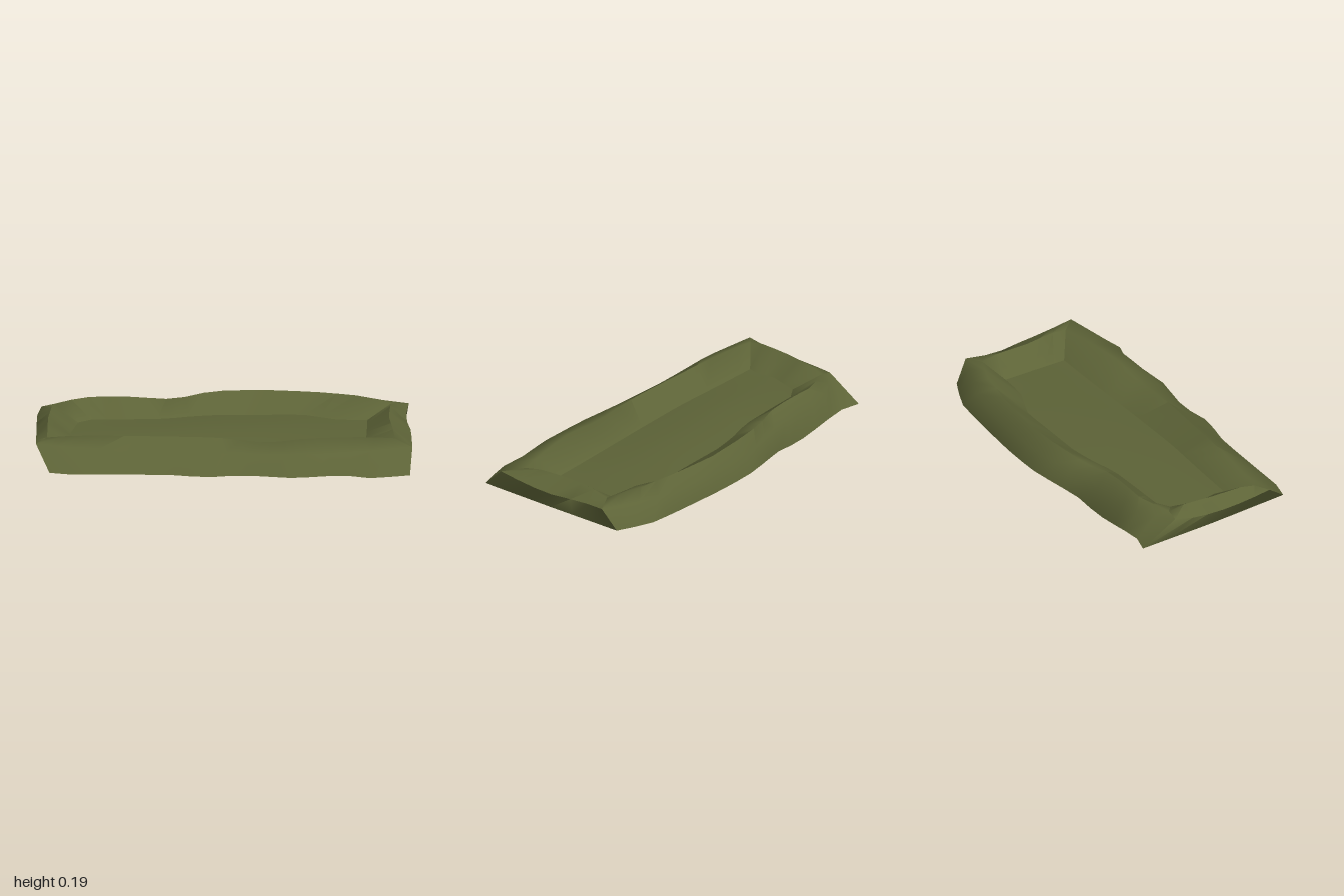
import * as THREE from 'three';
import { toCreasedNormals } from 'three/addons/utils/BufferGeometryUtils.js';

const LONG = 18, SHORT = 6;

// Plan outlines [x, z] of each level, as four sides: back, right, front, left
const BASE = [
  [[-0.5, -0.95], [-0.44, -0.87], [-0.15, -0.67], [0, -0.57], [0.17, -0.51], [0.33, -0.43], [0.52, -0.29], [0.78, -0.07], [0.91, 0.05], [1, 0.22]],
  [[1, 0.22], [0.76, 0.59], [0.52, 0.95]],
  [[0.52, 0.95], [0.33, 0.87], [0.23, 0.74], [0, 0.63], [-0.2, 0.43], [-0.37, 0.35], [-0.51, 0.2], [-0.93, -0.11], [-1, -0.19]],
  [[-1, -0.19], [-0.74, -0.6], [-0.5, -0.95]],
];
const SHOULDER = [
  [[-0.62, -0.79], [-0.42, -0.79], [-0.14, -0.61], [0.01, -0.52], [0.18, -0.46], [0.35, -0.37], [0.54, -0.23], [0.8, 0], [0.98, 0.3]],
  [[0.98, 0.3], [0.87, 0.42], [0.78, 0.6], [0.6, 0.86]],
  [[0.6, 0.86], [0.22, 0.66], [-0.02, 0.49], [-0.25, 0.29], [-0.5, 0.08], [-0.78, -0.13], [-0.98, -0.34]],
  [[-0.98, -0.34], [-0.7, -0.72], [-0.62, -0.79]],
];
const CREST = [
  [[-0.57, -0.75], [-0.4, -0.71], [-0.14, -0.52], [0.02, -0.45], [0.2, -0.38], [0.42, -0.24], [0.62, -0.06], [0.78, 0.11], [0.88, 0.28]],
  [[0.88, 0.28], [0.72, 0.48], [0.58, 0.73]],
  [[0.58, 0.73], [0.25, 0.55], [-0.05, 0.34], [-0.35, 0.1], [-0.6, -0.1], [-0.9, -0.35]],
  [[-0.9, -0.35], [-0.75, -0.55], [-0.57, -0.75]],
];
const FLOOR = [
  [[-0.52, -0.6], [-0.46, -0.61], [-0.27, -0.48], [-0.12, -0.38], [0.04, -0.32], [0.17, -0.25], [0.35, -0.12], [0.51, -0.01], [0.62, 0.17], [0.74, 0.26]],
  [[0.74, 0.26], [0.62, 0.42], [0.52, 0.55]],
  [[0.52, 0.55], [0.35, 0.43], [0, 0.19], [-0.3, -0.02], [-0.55, -0.22], [-0.73, -0.36]],
  [[-0.73, -0.36], [-0.68, -0.41], [-0.66, -0.48], [-0.52, -0.6]],
];

// Height rules: t runs 0..1 along each side
const baseY = (x, z, t, side) => (side === 0 ? 0.04 - 0.04 * Math.exp(-(((x + 0.13) / 0.2) ** 2)) : 0.04);
const shoulderY = (x, z, t) => 0.155 - 0.025 * Math.sin(Math.PI * t);
const crestY = (x, z, t) => 0.19 - 0.02 * Math.abs(2 * t - 1) ** 6 - 0.025 * Math.exp(-((x / 0.13) ** 2));
const floorY = () => 0.1;

// Evenly spaced points along each side of an outline
function sampleSides(outline, heightAt) {
  return outline.map((pts, side) => {
    const path = new THREE.CurvePath();
    for (let i = 1; i < pts.length; i++) {
      path.add(new THREE.LineCurve(new THREE.Vector2(...pts[i - 1]), new THREE.Vector2(...pts[i])));
    }
    const n = side % 2 ? SHORT : LONG;
    return Array.from({ length: n + 1 }, (_, i) => {
      const p = path.getPoint(i / n);
      return new THREE.Vector3(p.x, heightAt(p.x, p.y, i / n, side), p.y);
    });
  });
}

// Surface through rows of points; flip turns it to face down
function gridGeometry(rows, flip = false) {
  const w = rows[0].length, index = [];
  for (let r = 0; r < rows.length - 1; r++) {
    for (let i = 0; i < w - 1; i++) {
      const a = r * w + i, b = a + 1, c = a + w, d = c + 1;
      if (flip) index.push(a, b, c, b, d, c);
      else index.push(a, c, b, b, c, d);
    }
  }
  const geo = new THREE.BufferGeometry().setFromPoints(rows.flat());
  geo.setIndex(index);
  geo.computeVertexNormals();
  return geo;
}

// Blend four boundary sides into rows of a filled patch
function patchRows([back, right, front, left], lift = 0) {
  const rows = [];
  for (let j = 0; j <= SHORT; j++) {
    const v = j / SHORT, row = [];
    for (let i = 0; i <= LONG; i++) {
      const u = i / LONG;
      const p = back[i].clone().lerp(front[LONG - i], v)
        .add(left[SHORT - j].clone().lerp(right[j], u))
        .sub(back[0].clone().lerp(back[LONG], u).lerp(front[LONG].clone().lerp(front[0], u), v));
      p.y += lift * Math.sin(Math.PI * u) * Math.sin(Math.PI * v);
      row.push(p);
    }
    rows.push(row);
  }
  return rows;
}

export function createModel() {
  const group = new THREE.Group();
  const olive = new THREE.MeshStandardMaterial({ color: 0x5d6337 });
  olive.name = 'olive';
  const add = (name, geo) => {
    const mesh = new THREE.Mesh(geo, olive);
    mesh.name = name;
    group.add(mesh);
  };

  const base = sampleSides(BASE, baseY);
  const shoulder = sampleSides(SHOULDER, shoulderY);
  const crest = sampleSides(CREST, crestY);
  const floor = sampleSides(FLOOR, floorY);

  // Raised rim, one padded strip per side
  ['backRim', 'rightEndRim', 'frontRim', 'leftEndRim'].forEach((name, s) => {
    const strip = gridGeometry([base[s], shoulder[s], crest[s], floor[s]]);
    add(name, toCreasedNormals(strip, 1.1));
  });

  // Sunken floor and sagging underside
  add('innerFloor', gridGeometry(patchRows(floor, 0.012)));
  add('underside', gridGeometry(patchRows(base), true));
  return group;
}
